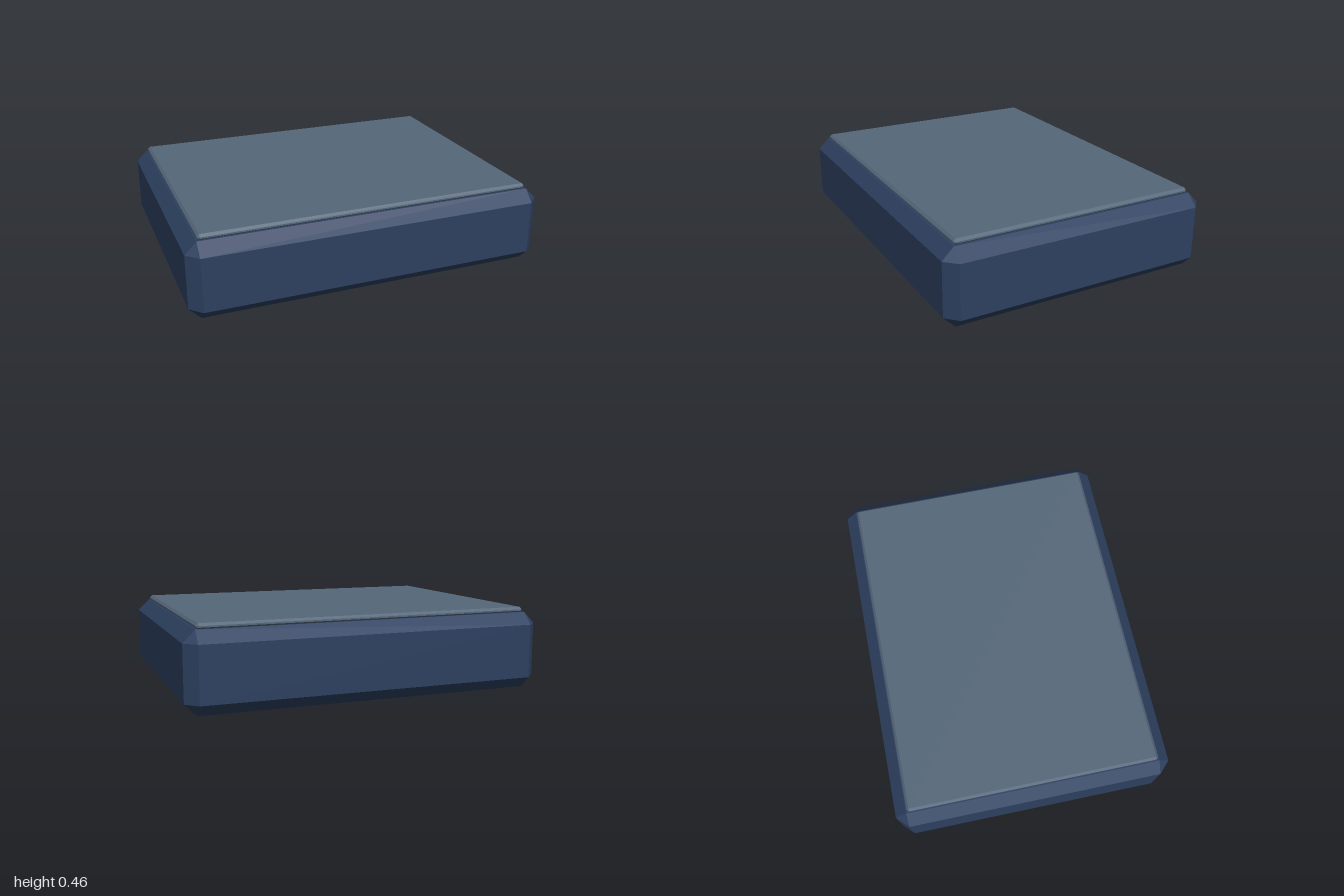
import * as THREE from 'three';
import { ConvexGeometry } from 'three/addons/geometries/ConvexGeometry.js';

// Box with every edge cut by a flat bevel and a triangular facet at each corner
function bevelledBox(name, width, height, depth, bevel, color, y) {
  const half = [width / 2, height / 2, depth / 2];
  const points = [];
  for (const sx of [-1, 1]) for (const sy of [-1, 1]) for (const sz of [-1, 1]) {
    for (let axis = 0; axis < 3; axis++) {
      const [a, b, c] = half.map((h, i) => (i === axis ? h : h - bevel));
      points.push(new THREE.Vector3(sx * a, sy * b, sz * c));
    }
  }
  const mesh = new THREE.Mesh(
    new ConvexGeometry(points),
    new THREE.MeshStandardMaterial({ color, flatShading: true })
  );
  mesh.name = name;
  mesh.position.y = y;
  return mesh;
}

export function createModel() {
  const model = new THREE.Group();
  model.name = 'bevelledSlab';

  // Main block, standing on the ground
  model.add(bevelledBox('body', 2, 0.427, 1.54, 0.064, 0x2d4060, 0.2135));

  // Thin raised plate on top
  model.add(bevelledBox('topPanel', 1.86, 0.034, 1.4, 0.013, 0x55677a, 0.438));

  return model;
}
